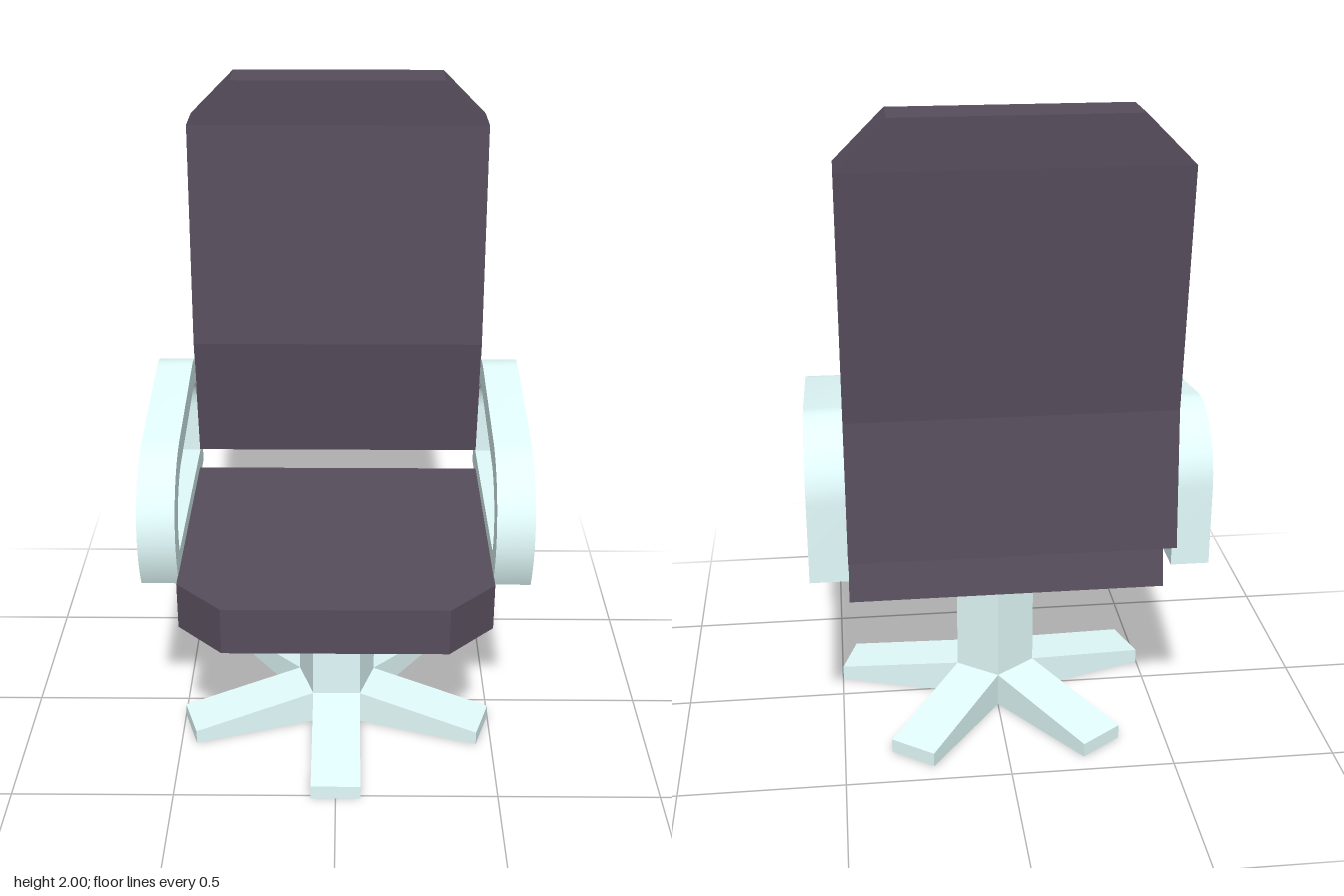
import * as THREE from 'three';
import { toCreasedNormals } from 'three/addons/utils/BufferGeometryUtils.js';

const cushion = new THREE.MeshStandardMaterial({ color: 0x574d5c, flatShading: true });
const frame = new THREE.MeshStandardMaterial({ color: 0xe2fbfb, flatShading: true });
const smoothFrame = new THREE.MeshStandardMaterial({ color: 0xe2fbfb });

// Closed solid through rings of four corners, counter-clockwise seen from the last ring
function loft(rings) {
  const pos = [];
  const quad = (a, b, c, d) => pos.push(...a, ...b, ...c, ...a, ...c, ...d);
  for (let i = 0; i < rings.length - 1; i++) {
    for (let j = 0; j < 4; j++) {
      const k = (j + 1) % 4;
      quad(rings[i][j], rings[i][k], rings[i + 1][k], rings[i + 1][j]);
    }
  }
  quad(...[...rings[0]].reverse());
  quad(...rings[rings.length - 1]);
  const geometry = new THREE.BufferGeometry();
  geometry.setAttribute('position', new THREE.Float32BufferAttribute(pos, 3));
  geometry.computeVertexNormals();
  return geometry;
}

// Upright ring: half width, bottom and top height, z at bottom and at top
const uprightRing = (w, y0, y1, z0, z1 = z0) =>
  [[-w, y0, z0], [w, y0, z0], [w, y1, z1], [-w, y1, z1]];

// Level ring: half width, height, front and back z
const levelRing = (w, y, front, back) =>
  [[-w, y, front], [w, y, front], [w, y, back], [-w, y, back]];

function add(parent, name, geometry, material) {
  const mesh = new THREE.Mesh(geometry, material);
  mesh.name = name;
  parent.add(mesh);
  return mesh;
}

// Closed armrest loop, drawn in (z, y); the hole runs opposite to the outline
function armrestGeometry(width) {
  const shape = new THREE.Shape();
  shape.moveTo(0.35, 0.669);
  shape.lineTo(-0.467, 0.669);
  shape.lineTo(-0.467, 0.905);
  shape.bezierCurveTo(-0.467, 1.03, -0.365, 1.134, -0.247, 1.117);
  shape.lineTo(0.172, 1.054);
  shape.bezierCurveTo(0.3, 1.034, 0.388, 0.936, 0.388, 0.818);
  shape.quadraticCurveTo(0.388, 0.748, 0.35, 0.669);

  const hole = new THREE.Path();
  hole.moveTo(0.294, 0.75);
  hole.quadraticCurveTo(0.306, 0.783, 0.306, 0.812);
  hole.bezierCurveTo(0.306, 0.887, 0.245, 0.961, 0.156, 0.975);
  hole.lineTo(-0.255, 1.037);
  hole.bezierCurveTo(-0.33, 1.048, -0.385, 0.987, -0.385, 0.912);
  hole.lineTo(-0.385, 0.75);
  hole.lineTo(0.294, 0.75);
  shape.holes.push(hole);

  const geometry = new THREE.ExtrudeGeometry(shape, { depth: width, bevelEnabled: false, curveSegments: 16 });
  geometry.translate(0, 0, -width / 2).rotateY(-Math.PI / 2);
  return toCreasedNormals(geometry, 0.35);
}

export function createModel() {
  const chair = new THREE.Group();
  chair.name = 'officeChair';

  // Five-legged base with a pentagonal column
  const base = new THREE.Group();
  base.name = 'base';
  base.position.z = 0.014;
  chair.add(base);
  const radius = 0.13, seatBottom = 0.553, seatTop = 0.701;
  const legHalf = radius * Math.sin(Math.PI / 5);
  const legStart = radius * Math.cos(Math.PI / 5);
  const column = new THREE.CylinderGeometry(radius, radius, seatBottom, 5, 1, false, Math.PI / 5);
  add(base, 'column', column.translate(0, seatBottom / 2, 0), frame);
  const leg = loft([uprightRing(legHalf, 0, 0.11, legStart), uprightRing(legHalf, 0, 0.045, 0.499)]);
  for (let i = 0; i < 5; i++) {
    add(base, 'leg', leg, frame).rotation.y = (i * 2 * Math.PI) / 5;
  }

  // Seat with clipped front corners and a slanted rear face
  add(chair, 'seat', loft([
    uprightRing(0.468, seatBottom, seatTop, -0.382, -0.347),
    uprightRing(0.468, seatBottom, seatTop, 0.407),
    uprightRing(0.33, seatBottom, seatTop, 0.545),
  ]), cushion);

  // Backrest bent at the lumbar line, with clipped top corners
  add(chair, 'backrest', loft([
    levelRing(0.468, 0.752, -0.384, -0.524),
    levelRing(0.468, 1.16, -0.33, -0.482),
    levelRing(0.468, 1.863, -0.39, -0.545),
    levelRing(0.33, 2, -0.39, -0.545),
  ]), cushion);

  // Armrests
  const armrest = armrestGeometry(0.112);
  for (const side of [1, -1]) {
    const name = side > 0 ? 'leftArmrest' : 'rightArmrest';
    add(chair, name, armrest, smoothFrame).position.x = side * 0.523;
  }
  return chair;
}
